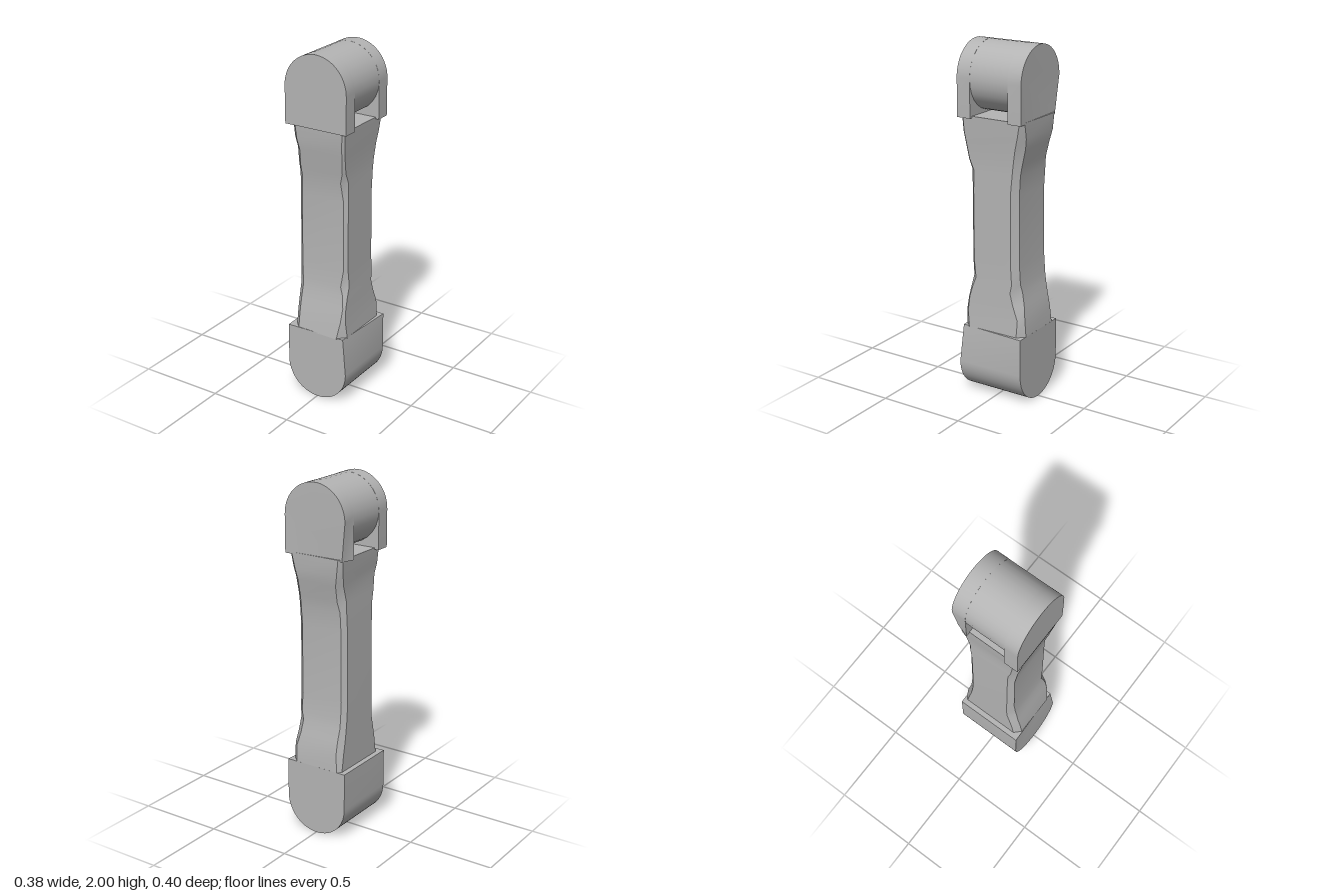
import * as THREE from 'three';
import { toCreasedNormals } from 'three/addons/utils/BufferGeometryUtils.js';

const R = 0.19, HALF = 0.2;

// Half-round block outline: arc over a straight skirt of the given height
function archShape(skirt) {
  const s = new THREE.Shape();
  s.moveTo(-R, -skirt);
  s.lineTo(R, -skirt);
  s.lineTo(R, 0);
  s.absarc(0, 0, R, 0, Math.PI, false);
  s.lineTo(-R, -skirt);
  return s;
}

// Arch block from z0 to z1, with one worn skirt corner (signs sx, sz) pulled inwards
function archBlock(skirt, z0, z1, sx, sz) {
  const g = new THREE.ExtrudeGeometry(archShape(skirt), { depth: z1 - z0, bevelEnabled: false, curveSegments: 14 });
  g.translate(0, 0, z0);
  const p = g.attributes.position;
  for (let i = 0; i < p.count; i++) {
    if (p.getY(i) < -skirt + 0.001 && p.getX(i) * sx > 0.18 && p.getZ(i) * sz > 0.19) {
      p.setX(i, sx * 0.165);
      p.setZ(i, sz * 0.19);
    }
  }
  return toCreasedNormals(g, 0.5);
}

// Shaft rings: y, right x, left x, front z, back z, then the chamfers of
// the front right, back right, back left and front left corners
const rings = [
  [0.40, 0.170, 0.160, 0.195, 0.200, 0.045, 0.040, 0.020, 0.035],
  [0.50, 0.163, 0.160, 0.180, 0.194, 0.020, 0.030, 0.030, 0.035],
  [0.58, 0.160, 0.160, 0.163, 0.178, 0.012, 0.045, 0.030, 0.035],
  [0.65, 0.158, 0.160, 0.150, 0.163, 0.020, 0.050, 0.025, 0.038],
  [0.70, 0.156, 0.160, 0.145, 0.157, 0.034, 0.035, 0.025, 0.035],
  [0.80, 0.155, 0.160, 0.140, 0.150, 0.018, 0.035, 0.025, 0.030],
  [1.20, 0.155, 0.156, 0.140, 0.148, 0.018, 0.035, 0.025, 0.028],
  [1.31, 0.154, 0.155, 0.150, 0.155, 0.030, 0.032, 0.025, 0.035],
  [1.37, 0.155, 0.153, 0.160, 0.165, 0.014, 0.035, 0.035, 0.030],
  [1.46, 0.160, 0.152, 0.175, 0.185, 0.012, 0.040, 0.030, 0.035],
  [1.52, 0.165, 0.160, 0.185, 0.196, 0.012, 0.035, 0.025, 0.032],
  [1.61, 0.170, 0.166, 0.190, 0.199, 0.012, 0.020, 0.020, 0.030],
];

// Loft of chamfered rectangles, closed at both ends
function shaftGeometry() {
  const pos = [], idx = [], n = 8;
  for (const [y, xr, xl, zf, zb, fr, br, bl, fl] of rings) {
    const loop = [
      [xr - fr, zf], [xr, zf - fr], [xr, br - zb], [xr - br, -zb],
      [bl - xl, -zb], [-xl, bl - zb], [-xl, zf - fl], [fl - xl, zf],
    ];
    for (const [x, z] of loop) pos.push(x, y, z);
  }
  const last = (rings.length - 1) * n;
  for (let r = 0; r < last; r += n) {
    for (let i = 0; i < n; i++) {
      const a = r + i, b = r + (i + 1) % n;
      idx.push(a, b, b + n, a, b + n, a + n);
    }
  }
  for (let i = 1; i < n - 1; i++) {
    idx.push(0, i + 1, i);
    idx.push(last, last + i, last + i + 1);
  }
  const g = new THREE.BufferGeometry();
  g.setAttribute('position', new THREE.Float32BufferAttribute(pos, 3));
  g.setIndex(idx);
  return toCreasedNormals(g, 0.5);
}

export function createModel() {
  const group = new THREE.Group();
  group.name = 'linkArm';
  const grey = new THREE.MeshStandardMaterial({ color: 0xb4b4b4 });
  grey.name = 'plain grey';

  const add = (name, geometry, y) => {
    const m = new THREE.Mesh(geometry, grey);
    m.name = name;
    m.position.y = y;
    group.add(m);
    return m;
  };

  add('shaft', shaftGeometry(), 0);

  // Fork at the top: two cheeks around a round pin
  add('frontCheek', archBlock(0.21, 0.118, HALF, -1, -1), 1.81);
  add('backCheek', archBlock(0.21, -HALF, -0.118, -1, -1), 1.81);
  const pin = new THREE.CylinderGeometry(R, R, 0.24, 28, 1, true);
  pin.rotateX(Math.PI / 2);
  add('pin', pin, 1.81);

  // Rounded foot, the same arch upside down
  const foot = add('foot', archBlock(0.215, -HALF, HALF, -1, 1), 0.19);
  foot.rotation.z = Math.PI;

  return group;
}
